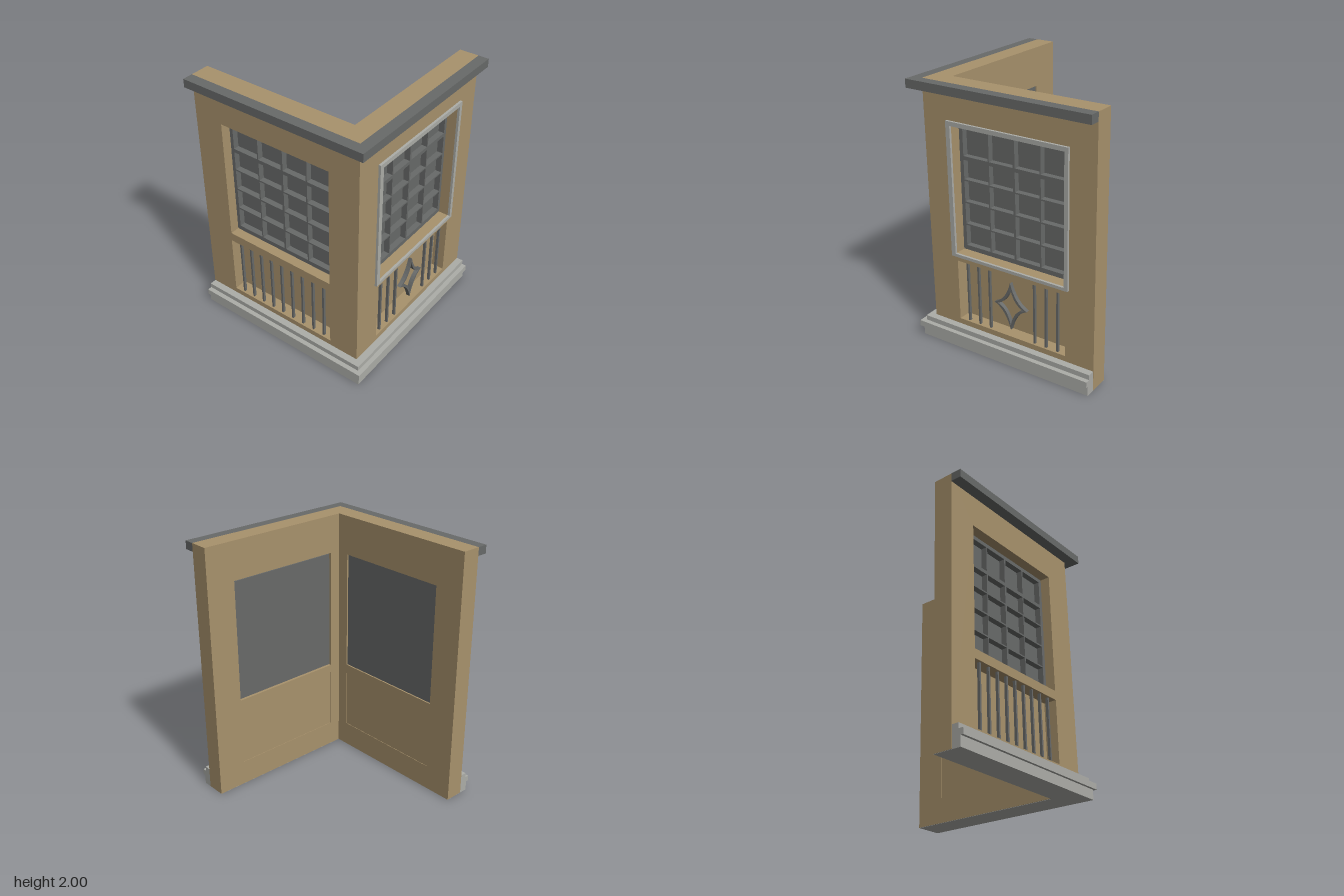
import * as THREE from 'three';

const END = 0.738, INNER = 0.503, OUTER = 0.65;

const mats = {
  stucco: new THREE.MeshStandardMaterial({ name: 'tan stucco', color: 0xa8926c }),
  metal: new THREE.MeshStandardMaterial({ name: 'dark grey metal', color: 0x686a69 }),
  stone: new THREE.MeshStandardMaterial({ name: 'light grey stone', color: 0xacada8 }),
};

function add(group, name, geometry, mat) {
  const mesh = new THREE.Mesh(geometry, mat);
  mesh.name = name;
  group.add(mesh);
  return mesh;
}

// Rectangle outline, with the horizontal limits given in either order
function rect(a, b, y0, y1, Type = THREE.Shape) {
  const x0 = Math.min(a, b), x1 = Math.max(a, b);
  return new Type([[x0, y0], [x1, y0], [x1, y1], [x0, y1]].map(p => new THREE.Vector2(...p)));
}

function slab(shape, z0, z1) {
  return new THREE.ExtrudeGeometry(shape, { depth: z1 - z0, bevelEnabled: false, curveSegments: 8 })
    .translate(0, 0, z0);
}

// L-shaped course running round the outer corner
function course(inner, outer, end, y0, y1) {
  const shape = new THREE.Shape([
    [-end, -outer], [outer, -outer], [outer, end], [inner, end], [inner, -inner], [-end, -inner],
  ].map(p => new THREE.Vector2(...p)));
  return slab(shape, y0, y1).rotateX(-Math.PI / 2);
}

// Four-pointed star with concave sides
function star(w, h, cw, ch, Type) {
  const s = new Type();
  s.moveTo(w, 0);
  s.quadraticCurveTo(cw, ch, 0, h);
  s.quadraticCurveTo(-cw, ch, -w, 0);
  s.quadraticCurveTo(-cw, -ch, 0, -h);
  s.quadraticCurveTo(cw, -ch, w, 0);
  return s;
}

// One wall facing +z; side = -1 mirrors the layout sideways
function wing(side, cornerEnd, ornate) {
  const g = new THREE.Group();
  const u = v => side * v;
  const win = [u(-0.505), u(0.41), 0.75, 1.695];
  const panel = [u(-0.508), u(0.413), 0.2, 0.68];
  const opening = ornate ? [u(-0.507), u(0.415), 0.743, 1.705] : win;

  // Wall with window and panel openings
  const wall = rect(u(-END), u(cornerEnd), 0.003, 2);
  wall.holes.push(rect(...opening, THREE.Path), rect(...panel, THREE.Path));
  add(g, 'wall', slab(wall, INNER, OUTER), mats.stucco);

  // Window lattice in front of a solid backing
  const lattice = rect(...win);
  const columns = [[-0.478, -0.265], [-0.255, -0.055], [-0.038, 0.16], [0.17, 0.38]];
  const rows = [[0.785, 0.945], [0.956, 1.115], [1.127, 1.284], [1.295, 1.44], [1.468, 1.665]];
  for (const [a, b] of columns)
    for (const [y0, y1] of rows) lattice.holes.push(rect(u(a), u(b), y0, y1, THREE.Path));
  add(g, 'windowLattice', slab(lattice, 0.53, 0.575), mats.metal);
  add(g, 'windowPane', slab(rect(...win), 0.515, 0.53), mats.metal);

  // Recessed panel with upright bars
  add(g, 'recessedPanel', slab(rect(...panel), 0.507, 0.55), mats.stucco);
  for (let i = 0; i < 9; i++) {
    if (ornate && i >= 3 && i <= 5) continue;
    const bar = add(g, 'panelBar', new THREE.BoxGeometry(0.015, 0.48, 0.02), mats.metal);
    bar.position.set(u(-0.434 + i * 0.0966), 0.44, 0.625);
  }

  if (ornate) {
    // Star ornament between the bars
    const shape = star(0.14, 0.188, 0.04, 0.038, THREE.Shape);
    shape.holes.push(star(0.112, 0.15, 0.028, 0.024, THREE.Path));
    add(g, 'starOrnament', slab(shape, 0.61, 0.64), mats.metal).position.set(u(-0.042), 0.437, 0);

    // Raised window surround
    const trim = rect(u(-0.536), u(0.45), 0.72, 1.737);
    trim.holes.push(rect(...opening, THREE.Path));
    add(g, 'windowSurround', slab(trim, OUTER, 0.668), mats.stone);
  }
  return g;
}

export function createModel() {
  const model = new THREE.Group();
  model.name = 'cornerFacade';

  const front = wing(1, OUTER, false);
  front.name = 'frontWing';
  const right = wing(-1, INNER, true);
  right.name = 'sideWing';
  right.rotation.y = Math.PI / 2;
  model.add(front, right);

  // Coping along the top edge
  add(model, 'coping', course(OUTER, 0.73, END, 1.937, 2), mats.metal);

  // Stepped plinth
  for (const [outer, y0, y1] of [[0.718, 0, 0.075], [0.738, 0.075, 0.12], [0.703, 0.12, 0.158]])
    add(model, 'plinthStep', course(INNER + 0.003, outer, END - 0.002, y0, y1), mats.stone);

  return model;
}
